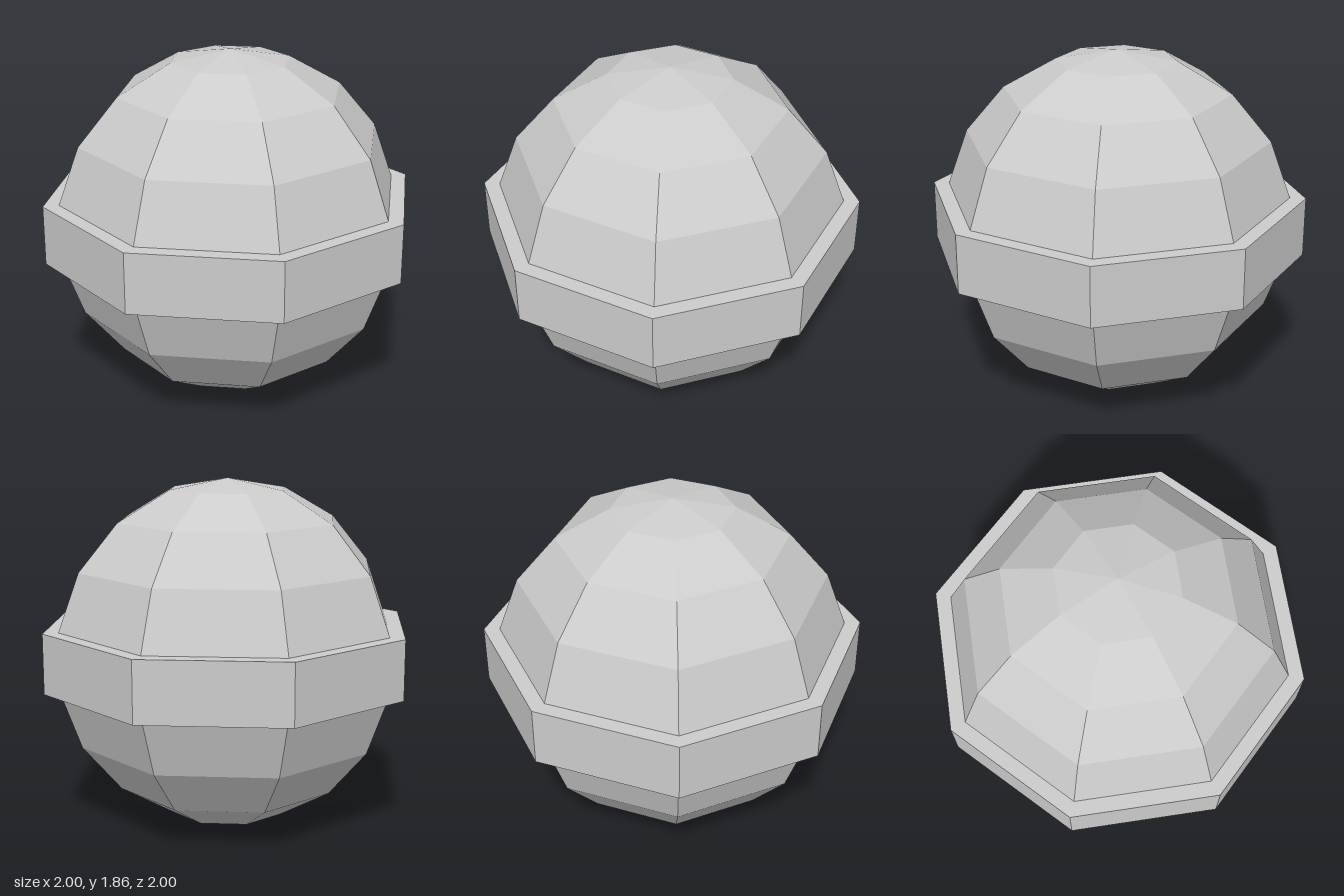
import * as THREE from 'three';

const SIDES = 8;
const RADIUS = 0.93;

export function createModel() {
  const model = new THREE.Group();
  model.name = 'bandedBall';
  const material = new THREE.MeshStandardMaterial({ color: 0xcccccc, flatShading: true });

  const add = (name, geometry) => {
    const mesh = new THREE.Mesh(geometry, material);
    mesh.name = name;
    mesh.position.y = RADIUS;
    model.add(mesh);
  };

  // Faceted eight-sided ball
  add('ball', new THREE.SphereGeometry(RADIUS, SIDES, 9));

  // Flat-faced belt around the middle
  add('band', new THREE.CylinderGeometry(1, 1, 0.32, SIDES));

  return model;
}
